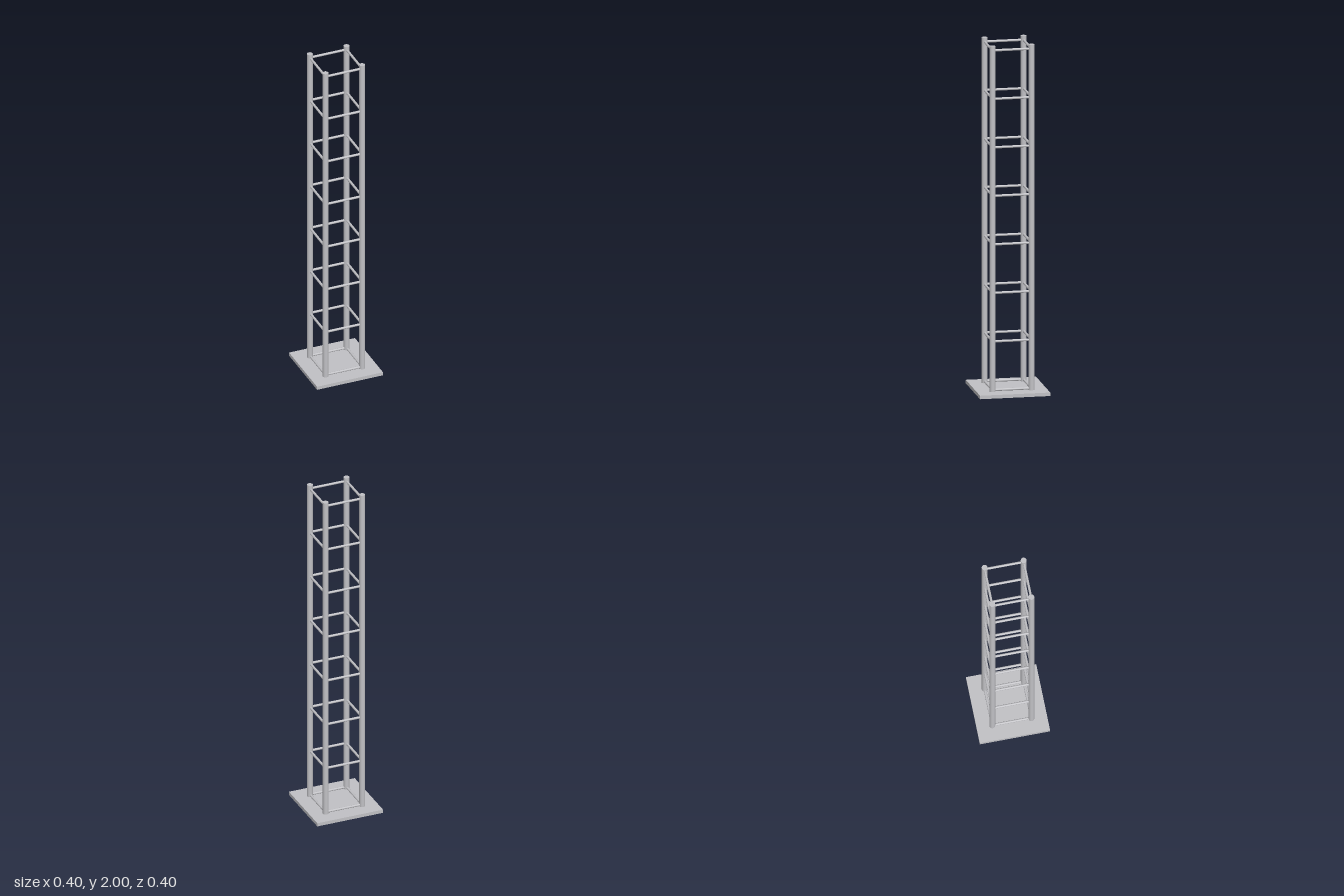
import * as THREE from 'three';

export function createModel() {
  const group = new THREE.Group();
  const steel = new THREE.MeshStandardMaterial({ color: 0xc0c0c4 });
  steel.name = 'steel';

  const baseHeight = 0.02, half = 0.111;

  function add(name, geometry, x, y, z) {
    const mesh = new THREE.Mesh(geometry, steel);
    mesh.name = name;
    mesh.position.set(x, y, z);
    group.add(mesh);
    return mesh;
  }

  // Square floor plate
  add('basePlate', new THREE.BoxGeometry(0.4, baseHeight, 0.4), 0, baseHeight / 2, 0);

  // Four corner tubes
  const postHeight = 2 - baseHeight;
  const postGeometry = new THREE.CylinderGeometry(0.0165, 0.0165, postHeight, 32);
  for (const x of [-half, half]) {
    for (const z of [-half, half]) {
      add('cornerPost', postGeometry, x, baseHeight + postHeight / 2, z);
    }
  }

  // Eight evenly spaced rings of cross bars
  const barGeometry = new THREE.CylinderGeometry(0.007, 0.007, half * 2, 20);
  for (let i = 0; i < 8; i++) {
    const y = 0.029 + i * 0.278;
    for (const side of [-half, half]) {
      add('crossBarX', barGeometry, 0, y, side).rotation.z = Math.PI / 2;
      add('crossBarZ', barGeometry, side, y, 0).rotation.x = Math.PI / 2;
    }
  }

  return group;
}
